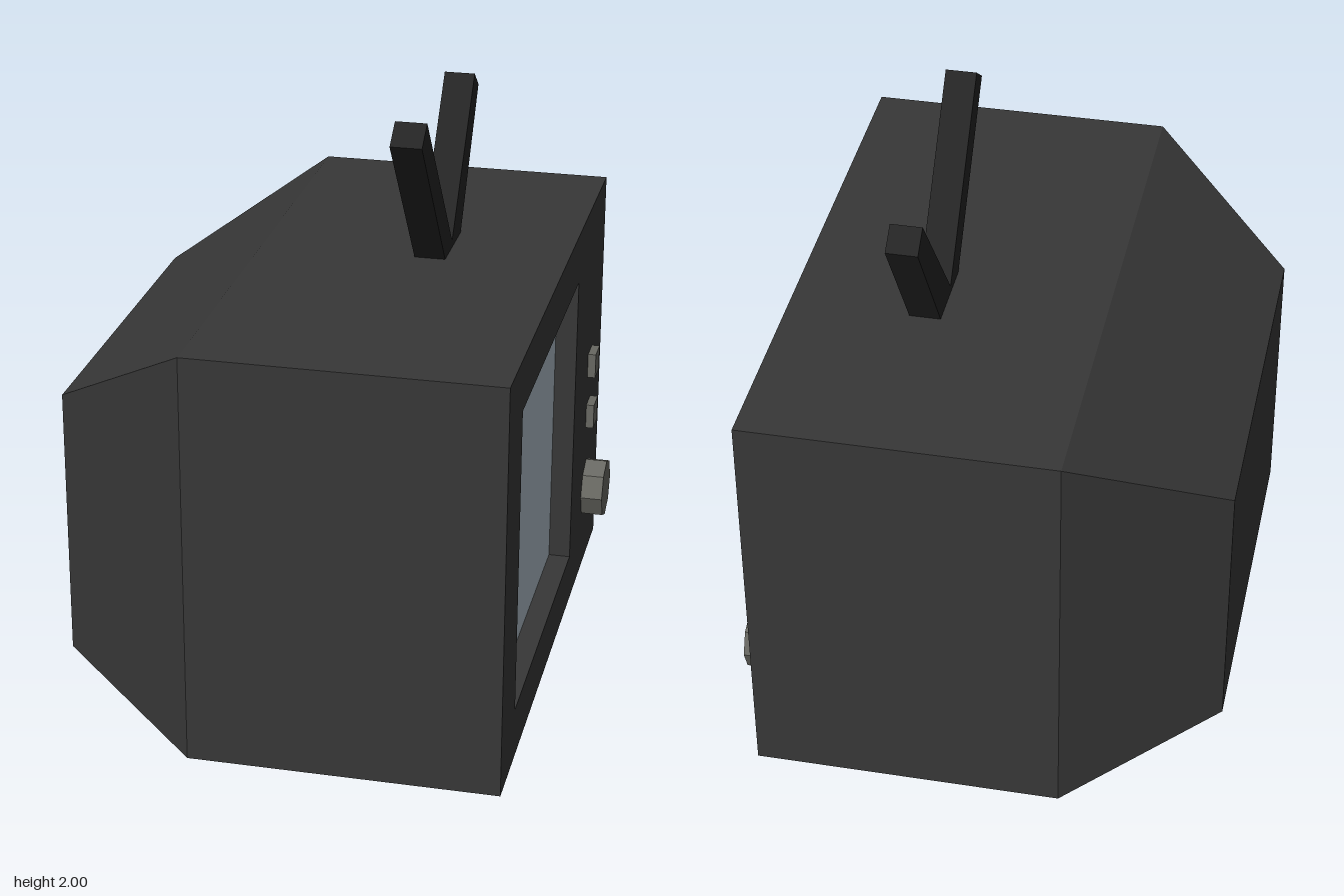
import * as THREE from 'three';

const flat = (name, color) => {
  const m = new THREE.MeshStandardMaterial({ color, flatShading: true });
  m.name = name;
  return m;
};

// Rectangular cross-section at depth x, corners counter-clockwise seen from +x
const rect = (x, z0, z1, y0, y1) => [[x, y0, z1], [x, y0, z0], [x, y1, z0], [x, y1, z1]];

// Join successive cross-sections with quads and close the first one
function loft(loops) {
  const pos = [];
  const quad = (a, b, c, d) => pos.push(...a, ...b, ...c, ...a, ...c, ...d);
  const [b0, b1, b2, b3] = loops[0];
  quad(b0, b3, b2, b1);
  for (let k = 0; k < loops.length - 1; k++) {
    const a = loops[k], b = loops[k + 1];
    for (let i = 0; i < 4; i++) {
      const j = (i + 1) % 4;
      quad(a[i], a[j], b[j], b[i]);
    }
  }
  const g = new THREE.BufferGeometry();
  g.setAttribute('position', new THREE.Float32BufferAttribute(pos, 3));
  g.computeVertexNormals();
  return g;
}

export function createModel() {
  const group = new THREE.Group();
  const casing = flat('casing charcoal', 0x373737);
  const glass = flat('screen blue grey', 0xadbcc6);
  const control = flat('control grey', 0x686862);
  const rod = flat('antenna black', 0x242424);

  const add = (name, geometry, material, x = 0, y = 0, z = 0) => {
    const mesh = new THREE.Mesh(geometry, material);
    mesh.name = name;
    mesh.position.set(x, y, z);
    group.add(mesh);
  };

  // Casing: tapered back, box body, bezel and screen recess
  const face = 0.73, recess = 0.655;
  const opening = [-0.38, 0.75, 0.18, 1.24];
  add('casing', loft([
    rect(-0.81, -0.65, 0.65, 0.17, 1.1),
    rect(-0.31, -0.995, 0.995, 0, 1.42),
    rect(face, -0.995, 0.995, 0, 1.42),
    rect(face, ...opening),
    rect(recess, ...opening),
  ]), casing);

  // Screen at the bottom of the recess
  const [z0, z1, y0, y1] = opening;
  add('screen', new THREE.PlaneGeometry(z1 - z0, y1 - y0).rotateY(Math.PI / 2), glass,
    recess, (y0 + y1) / 2, (z0 + z1) / 2);

  // Buttons and tuning knob
  [0.805, 0.605].forEach((y, i) =>
    add(`button${i + 1}`, new THREE.BoxGeometry(0.04, 0.09, 0.09), control, 0.738, y, -0.725));
  add('knob', new THREE.CylinderGeometry(0.108, 0.108, 0.09, 8).rotateZ(-Math.PI / 2), control,
    0.762, 0.305, -0.725);

  // V-shaped antenna, drawn in the z-y plane
  const profile = new THREE.Shape([
    [-0.3, 1.415], [-0.59, 1.865], [-0.515, 1.925], [-0.15, 1.445],
    [0.295, 2], [0.375, 1.94], [-0.035, 1.415],
  ].map(([z, y]) => new THREE.Vector2(z, y)));
  add('antenna', new THREE.ExtrudeGeometry(profile, { depth: 0.105, bevelEnabled: false })
    .rotateY(-Math.PI / 2), rod, 0.325);

  return group;
}
